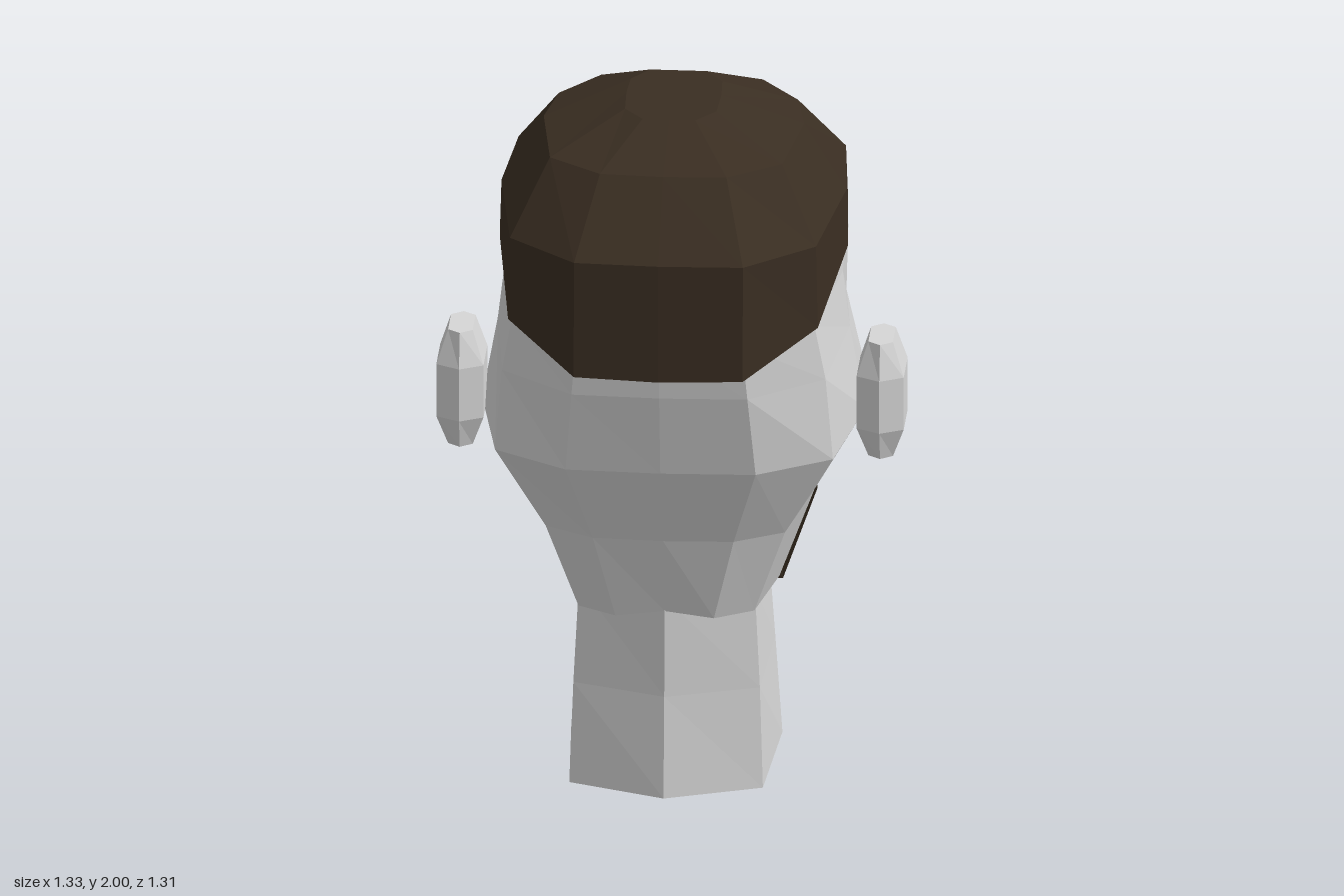
import * as THREE from 'three';

const mat = (name, color, side = THREE.FrontSide) => {
  const m = new THREE.MeshStandardMaterial({ color, flatShading: true, side });
  m.name = name;
  return m;
};

// Half outline [x, z] or [x, z, y] from face centre to back, mirrored to a full ring
function ring(y, half) {
  const right = half.map(([x, z, h = y]) => [x, h, z]);
  const left = right.filter((p) => p[0] > 0).reverse().map(([x, h, z]) => [-x, h, z]);
  return [...right, ...left];
}

// Open band running from the right side round the face to the left side
function band(y, half) {
  const right = half.map(([x, z, h = y]) => [x, h, z]);
  return [...right.slice(1).reverse().map(([x, h, z]) => [-x, h, z]), ...right];
}

// Skin cross-sections, listed bottom to top
function loft(rings, { closed = true, bottom = false, top = false } = {}) {
  const pos = [];
  const tri = (a, b, c) => pos.push(...a, ...b, ...c);
  const n = rings[0].length;
  for (let r = 0; r < rings.length - 1; r++) {
    for (let i = 0; i < (closed ? n : n - 1); i++) {
      const j = (i + 1) % n;
      const a = rings[r][i], b = rings[r][j], c = rings[r + 1][j], d = rings[r + 1][i];
      tri(a, d, c);
      tri(a, c, b);
    }
  }
  const last = rings[rings.length - 1];
  for (let i = 1; i < n - 1; i++) {
    if (bottom) tri(rings[0][0], rings[0][i], rings[0][i + 1]);
    if (top) tri(last[0], last[i + 1], last[i]);
  }
  const g = new THREE.BufferGeometry();
  g.setAttribute('position', new THREE.Float32BufferAttribute(pos, 3));
  g.computeVertexNormals();
  return g;
}

export function createModel() {
  const model = new THREE.Group();
  model.name = 'headBust';
  const skin = mat('skin', 0xd6d6d6);
  const hair = mat('hair', 0x3a2e22, THREE.DoubleSide);
  const flesh = mat('flesh', 0x9a6650, THREE.DoubleSide);
  const add = (name, geometry, material) => {
    const m = new THREE.Mesh(geometry, material);
    m.name = name;
    model.add(m);
    return m;
  };
  const box = (name, material, size, at) => {
    const m = add(name, new THREE.BoxGeometry(...size), material);
    m.position.set(...at);
    return m;
  };

  // Head, from jaw to hairline
  add('head', loft([
    ring(0.55, [[0, -0.45], [0.17, -0.43], [0.27, -0.27], [0.3, 0.05, 0.53], [0.25, 0.33, 0.54], [0.14, 0.395, 0.54], [0, 0.4, 0.56]]),
    ring(0.8, [[0, -0.465], [0.2, -0.44], [0.37, -0.275], [0.4, 0.05], [0.34, 0.37], [0.2, 0.45], [0, 0.46]]),
    ring(1.05, [[0, -0.47], [0.25, -0.46], [0.52, -0.27], [0.545, 0.04], [0.48, 0.42], [0.27, 0.55], [0, 0.56]]),
    ring(1.3, [[0, -0.44], [0.28, -0.41], [0.47, -0.23], [0.5, 0.04], [0.46, 0.43], [0.25, 0.595], [0, 0.605]]),
    ring(1.47, [[0, -0.49], [0.29, -0.48], [0.47, -0.3], [0.48, 0.04], [0.43, 0.45], [0.235, 0.61], [0, 0.62]]),
    ring(1.68, [[0, -0.43], [0.29, -0.42], [0.44, -0.265], [0.47, 0.04], [0.42, 0.44], [0.22, 0.6], [0, 0.61]]),
  ], { bottom: true, top: true }), skin);

  // Six-sided neck
  add('neck', loft([
    ring(0, [[0, -0.17], [0.3, -0.07], [0.275, 0.34], [0, 0.44]]),
    ring(0.3, [[0, -0.16], [0.28, -0.065], [0.265, 0.32], [0, 0.41]]),
    ring(0.6, [[0, -0.1], [0.26, -0.05], [0.25, 0.31], [0, 0.4]]),
  ], { bottom: true, top: true }), skin);

  // Hair cap with a rim that drops towards the nape
  add('hairCap', loft([
    ring(1.69, [[0, -0.455], [0.3, -0.45], [0.47, -0.28, 1.58], [0.495, 0.04, 1.55], [0.44, 0.46, 1.47], [0.24, 0.645, 1.375], [0, 0.655, 1.37]]),
    ring(1.72, [[0, -0.445], [0.29, -0.44], [0.465, -0.28], [0.49, 0.04], [0.435, 0.46], [0.24, 0.63], [0, 0.64]]),
    ring(1.92, [[0, -0.28], [0.23, -0.27], [0.34, -0.13], [0.37, 0.04], [0.33, 0.34], [0.18, 0.45], [0, 0.46]]),
    ring(2, [[0, -0.13], [0.08, -0.13], [0.13, -0.06], [0.135, 0.04], [0.13, 0.16], [0.075, 0.23], [0, 0.235]]),
  ], { top: true }), hair);

  // Beard shell round the jaw
  add('beard', loft([
    band(0.45, [[0, -0.41], [0.13, -0.39], [0.2, -0.1], [0.26, -0.06, 0.52]]),
    band(0.56, [[0, -0.482], [0.18, -0.455], [0.285, -0.28], [0.31, 0.04, 0.52]]),
    band(0.8, [[0, -0.482], [0.21, -0.46], [0.382, -0.282], [0.408, 0.04]]),
  ], { closed: false }), hair);

  // Wedge nose
  add('nose', loft([
    ring(1.03, [[0, -0.52], [0.09, -0.46, 1.06], [0, -0.44]]),
    ring(1.07, [[0, -0.655], [0.065, -0.65], [0, -0.44]]),
    ring(1.36, [[0, -0.475], [0.022, -0.47], [0, -0.44]]),
  ], { bottom: true, top: true }), skin);

  // Lips
  const mouth = new THREE.Shape([[-0.12, 0.015], [-0.05, 0.025], [0, 0.018], [0.05, 0.025], [0.12, 0.015], [0.05, -0.02], [-0.05, -0.02]]
    .map((p) => new THREE.Vector2(...p)));
  add('lips', new THREE.ExtrudeGeometry(mouth, { depth: 0.03, bevelEnabled: false }), flesh).position.set(0, 0.79, -0.495);

  // Almond eye outline
  const eye = new THREE.Shape([[-0.115, 0.02], [-0.06, 0.035], [0.06, 0.035], [0.115, 0.02], [0.05, -0.03], [-0.05, -0.03]]
    .map((p) => new THREE.Vector2(...p)));

  for (const s of [1, -1]) {
    const side = s > 0 ? 'left' : 'right';
    box(side + 'Eyebrow', hair, [0.23, 0.033, 0.026], [s * 0.295, 1.467, -0.524]);
    box(side + 'Eyelid', skin, [0.25, 0.025, 0.03], [s * 0.29, 1.365, -0.45]);
    add(side + 'Eye', new THREE.ExtrudeGeometry(eye, { depth: 0.012, bevelEnabled: false }), flesh)
      .position.set(s * 0.29, 1.335, -0.447);
    box(side + 'Iris', hair, [0.045, 0.055, 0.009], [s * 0.29, 1.335, -0.451]);

    // Ear: stacked six-sided slices
    const slice = (y, x, z, inner) => ring(y, [[0, -z], [x, -inner], [x, inner], [0, z]]);
    const ear = add(side + 'Ear', loft([
      slice(0.96, 0.035, 0.08, 0.055), slice(1.05, 0.067, 0.11, 0.075),
      slice(1.21, 0.067, 0.11, 0.075), slice(1.31, 0.035, 0.08, 0.055),
    ], { bottom: true, top: true }), skin);
    ear.position.set(s * 0.597, 0, 0.115);
    box(side + 'EarHollow', flesh, [0.05, 0.13, 0.014], [s * 0.615, 1.145, -0.002]);
  }
  return model;
}
